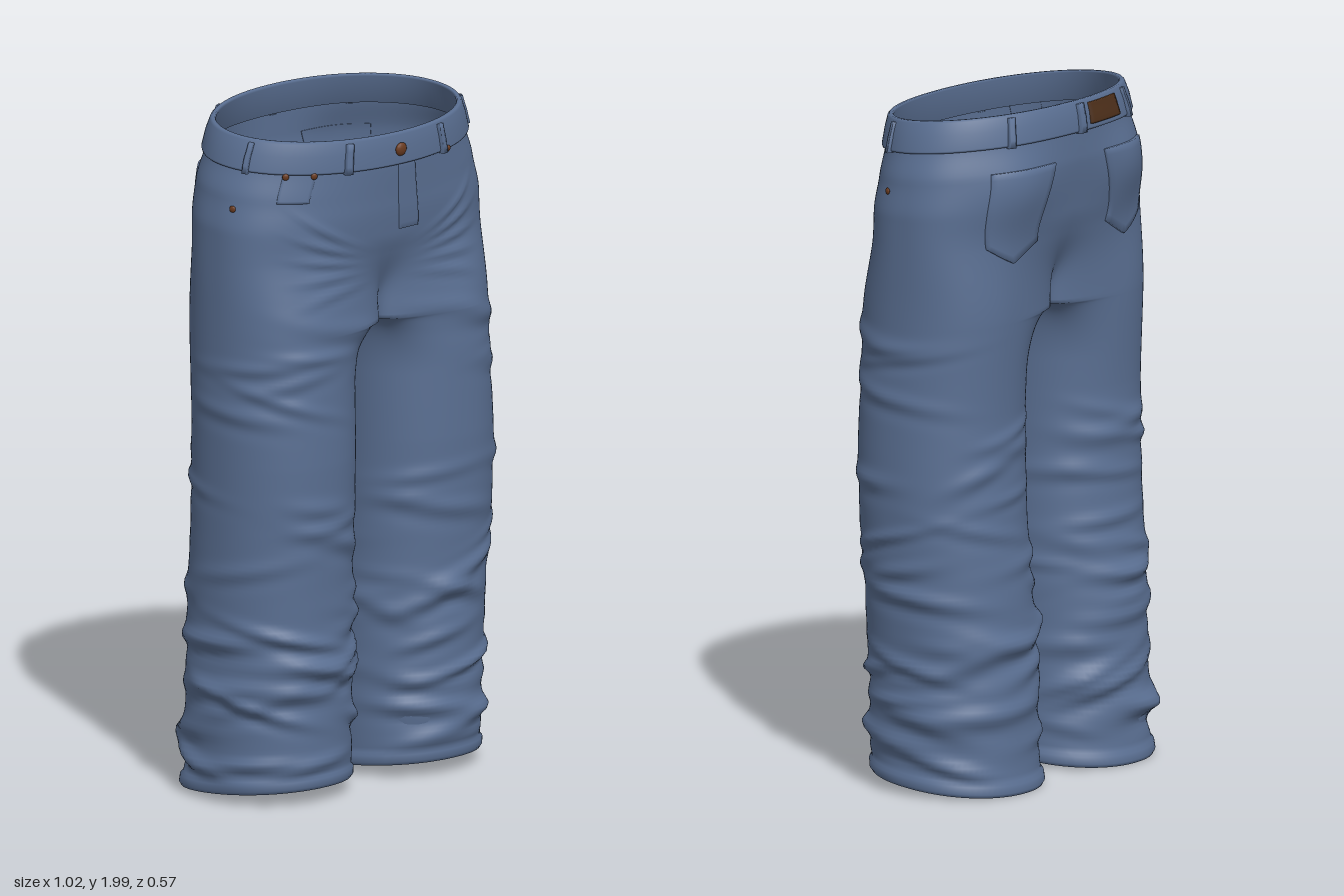
import * as THREE from 'three';
import { mergeGeometries, mergeVertices } from 'three/addons/utils/BufferGeometryUtils.js';

const CENTRE = -0.013, CROTCH = 1.38, B0 = 0.9;
const { smoothstep, lerp } = THREE.MathUtils;

// profiles by height: [y, value]
const OUTER = [[0, 0.48], [0.1, 0.48], [0.6, 0.485], [1.1, 0.488], [1.5, 0.485], [1.7, 0.483], [1.8, 0.467], [1.9, 0.435], [1.97, 0.41]];
const FRONT = [[0, 0.225], [0.1, 0.235], [0.6, 0.245], [1, 0.262], [1.3, 0.258], [1.6, 0.25], [1.75, 0.264], [1.88, 0.27], [1.97, 0.262]];
const BACK = [[0, -0.262], [0.1, -0.25], [0.5, -0.235], [0.8, -0.213], [1.1, -0.207], [1.4, -0.22], [1.6, -0.235], [1.8, -0.262], [1.9, -0.26], [1.97, -0.246]];

function sample(table, y) {
  for (let i = 1; i < table.length; i++) {
    const [y0, a] = table[i - 1], [y1, b] = table[i];
    if (y <= y1) return lerp(a, b, smoothstep(y, y0, y1) * 0.5 + 0.5 * Math.max(0, (y - y0) / (y1 - y0)));
  }
  return table[table.length - 1][1];
}
const pw = (v, n) => Math.sign(v) * Math.pow(Math.abs(v), 2 / n);
const bell = (v) => Math.exp(-v * v);

// cloth folds: soft ridges scattered over each leg
function makeFolds(seed) {
  const rnd = () => (seed = (seed * 16807) % 2147483647) / 2147483647;
  const folds = [];
  const add = (n, yLo, yHi, amp, aLo = 0, aHi = Math.PI * 2) => {
    for (let i = 0; i < n; i++) {
      folds.push({
        a: lerp(aLo, aHi, rnd()), y: lerp(yLo, yHi, (i + rnd()) / n), slope: (rnd() - 0.5) * 0.16,
        len: 0.4 + rnd() * 0.5, wid: 0.016 + rnd() * 0.014, amp: amp * (0.6 + rnd() * 0.6),
      });
    }
  };
  add(30, 0.08, 0.62, 0.016);
  add(9, 0.6, 0.95, 0.009);
  add(6, 1.15, 1.4, 0.008, -0.5, 1.6);
  add(4, 0.85, 1.08, 0.009, 2.6, 3.7);
  // creases fanning out from the crotch
  for (let i = 0; i < 5; i++) folds.push({ a: -0.15, y: 1.5 + i * 0.05, slope: -0.06 + i * 0.05, len: 0.35, wid: 0.013, amp: 0.006 });
  return folds;
}
const FOLDS = { 1: makeFolds(71), [-1]: makeFolds(4021) };

function foldAt(side, b, y) {
  let d = 0;
  for (const f of FOLDS[side]) {
    if (Math.abs(y - f.y) > 0.25) continue;
    const da = Math.atan2(Math.sin(b - f.a), Math.cos(b - f.a));
    const dy = (y - f.y - f.slope * da) / f.wid;
    d += f.amp * bell(da / f.len) * (bell(dy) - 0.4 * bell(dy + 1.6));
  }
  return d * smoothstep(y, 0.03, 0.1);
}

// cloth point: t 0..1 runs front centre, outer side, back centre; 1..2 is the inner leg
function cloth(side, t, y, off = 0) {
  const s = smoothstep(y, CROTCH, 1.66);
  const zf = sample(FRONT, y), zb = sample(BACK, y), zc = (zf + zb) / 2, D = (zf - zb) / 2;
  const W = sample(OUTER, y) + (side > 0 ? 0.022 * bell((y - 0.85) / 0.3) : 0);
  const tt = s === 1 ? t : t % 2;
  const a = Math.PI * tt;
  const b = tt <= 1 ? -B0 + tt * (Math.PI + 2 * B0) : Math.PI + B0 + (tt - 1) * (Math.PI - 2 * B0);

  // leg section, pinched to the centre line at the crotch
  const inner = lerp(0.024, 0.036, smoothstep(y, 0, 1));
  const arch = Math.min(1, Math.max(0, (y - 1.2) / (CROTCH - 1.2)));
  const pinch = 1 - Math.sqrt(1 - arch * arch);
  const w = tt > 1 ? 1 : 1 - smoothstep(Math.min(tt, 1 - tt), 0, 0.18);
  const uLeg = (inner + (W - inner) * (1 + pw(Math.sin(b), 2.15)) / 2) * (1 - pinch * w);
  const zLeg = zc + D * pw(Math.cos(b), 2.15);

  // hip section
  const n = lerp(2.5, 2.05, smoothstep(y, 1.6, 1.9));
  const uHip = W * pw(Math.sin(a), n), zHip = zc + D * pw(Math.cos(a), n);
  let u = lerp(uLeg, uHip, s), z = lerp(zLeg, zHip, s);
  if (z < 0) z -= 0.025 * bell((y - 1.75) / 0.11) * bell((Math.abs(u) - 0.25) / 0.12);

  const len = Math.hypot(Math.sin(a) / W, Math.cos(a) / D);
  const nx = lerp(Math.sin(b), Math.sin(a) / W / len, s), nz = lerp(Math.cos(b), Math.cos(a) / D / len, s);
  const d = off + (y < 1.86 ? foldAt(side, b, y) * Math.min(1, Math.abs(u) / 0.1) : 0);
  u += nx * d;
  z += nz * d;
  const tilt = 0.09 * (1 - smoothstep(y, 0, 0.4)) - 0.09 * smoothstep(y, 1.4, 1.9);
  return new THREE.Vector3(CENTRE + side * u, y + tilt * z, z);
}

function grid(nu, nv, fn, flip) {
  const pos = [], idx = [];
  for (let j = 0; j <= nv; j++) for (let i = 0; i <= nu; i++) pos.push(...fn(i, j).toArray());
  for (let j = 0; j < nv; j++) for (let i = 0; i < nu; i++) {
    const p = j * (nu + 1) + i, q = p + nu + 1;
    if (flip) idx.push(p, q + 1, p + 1, p, q, q + 1);
    else idx.push(p, p + 1, q + 1, p, q + 1, q);
  }
  const g = new THREE.BufferGeometry();
  g.setAttribute('position', new THREE.Float32BufferAttribute(pos, 3));
  g.setIndex(idx);
  return g;
}
function smooth(parts) {
  const g = mergeVertices(mergeGeometries(parts), 1e-5);
  g.computeVertexNormals();
  return g;
}

export function createModel() {
  const model = new THREE.Group();
  model.name = 'jeans';
  const mat = (name, color, side) => Object.assign(new THREE.MeshStandardMaterial({ color }), { name, ...(side && { side }) });
  const denim = mat('denim', 0x5a6f92, THREE.DoubleSide);
  const leather = mat('leather', 0x4d2f1a, THREE.DoubleSide);
  const copper = mat('copper', 0x6a3b20);
  const add = (name, geo, material) => {
    const m = new THREE.Mesh(geo, material);
    m.name = name;
    model.add(m);
    return m;
  };

  // legs and hips: turned-in hem, legs up to the crotch, then the seat
  const M = 68, K = 28;
  const hem = [[0.2, -0.014], [0.08, -0.016], [0.035, -0.016], [0.025, -0.008], [0.025, 0.003], [0.035, 0.009], [0.055, 0.008], [0.064, 0]];
  const legRows = [...hem];
  for (let i = 1; i <= 110; i++) legRows.push([lerp(0.064, CROTCH, 1 - Math.pow(1 - i / 110, 1.2)), 0]);
  const shell = [];
  for (const side of [1, -1]) {
    shell.push(grid(M + K, legRows.length - 1,
      (i, j) => cloth(side, i <= M ? i / M : 1 + (i - M) / K, ...legRows[j]), side < 0));
    shell.push(grid(M, 44, (i, j) => cloth(side, i / M, lerp(CROTCH, 1.895, j / 44)), side < 0));
  }
  add('legsAndSeat', smooth(shell), denim);

  // waistband: closed strip with thickness
  const band = [[1.88, -0.006], [1.88, 0.009], [1.886, 0.012], [1.93, 0.013], [1.965, 0.012], [1.971, 0.007], [1.971, -0.002], [1.965, -0.006], [1.88, -0.006]];
  add('waistband', smooth([grid(128, band.length - 1, (i, j) => cloth(1, (i % 128) / 64, ...band[j]))]), denim);

  // raised patch of cloth; taper narrows it and point drops the middle of its lower edge
  function patch(name, side, t0, t1, y0, y1, off, material = denim, { taper = 0, point = 0, n = 14 } = {}) {
    const g = grid(n, n, (i, j) => {
      const edge = i === 0 || j === 0 || i === n || j === n;
      const f = Math.min(n - 2, Math.max(0, i - 1)) / (n - 2), v = Math.min(n - 2, Math.max(0, j - 1)) / (n - 2);
      const low = y0 - point * (1 - Math.abs(2 * f - 1));
      const t = lerp(t0, t1, 0.5 + (f - 0.5) * (1 - taper * (1 - v)));
      return cloth(side, t, lerp(low, y1, v), edge ? -0.002 : off);
    }, side < 0);
    g.computeVertexNormals();
    return add(name, g, material);
  }

  for (const side of [1, -1]) {
    patch('backPocket', side, 0.755, 0.93, 1.6, 1.81, 0.009, denim, { taper: 0.2, point: 0.05 });
    for (const t of [0.133, 0.405, 0.8]) patch('beltLoop', side, t - 0.009, t + 0.009, 1.876, 1.962, 0.021, denim, { n: 6 });
  }
  patch('beltLoop', 1, 0.991, 1.009, 1.876, 1.962, 0.021, denim, { n: 6 });
  patch('coinPocket', -1, 0.21, 0.295, 1.795, 1.885, 0.004);
  patch('fly', 1, 0.0, 0.045, 1.67, 1.885, 0.003, denim, { taper: 0.2 });
  patch('leatherPatch', -1, 0.86, 0.972, 1.896, 1.958, 0.019, leather);

  // button and rivets
  function stud(name, side, t, y, off, r) {
    const m = add(name, new THREE.SphereGeometry(r, 16, 10), copper);
    m.position.copy(cloth(side, t, y, off));
    m.lookAt(cloth(side, t, y, off + 0.1));
    m.scale.z = 0.5;
  }
  stud('button', 1, 0, 1.925, 0.016, 0.02);
  stud('rivet', -1, 0.215, 1.876, 0.008, 0.01);
  stud('rivet', -1, 0.288, 1.874, 0.008, 0.01);
  stud('rivet', 1, 0.155, 1.882, 0.012, 0.009);
  for (const side of [1, -1]) stud('rivet', side, 0.43, 1.768, 0.002, 0.01);
  return model;
}
